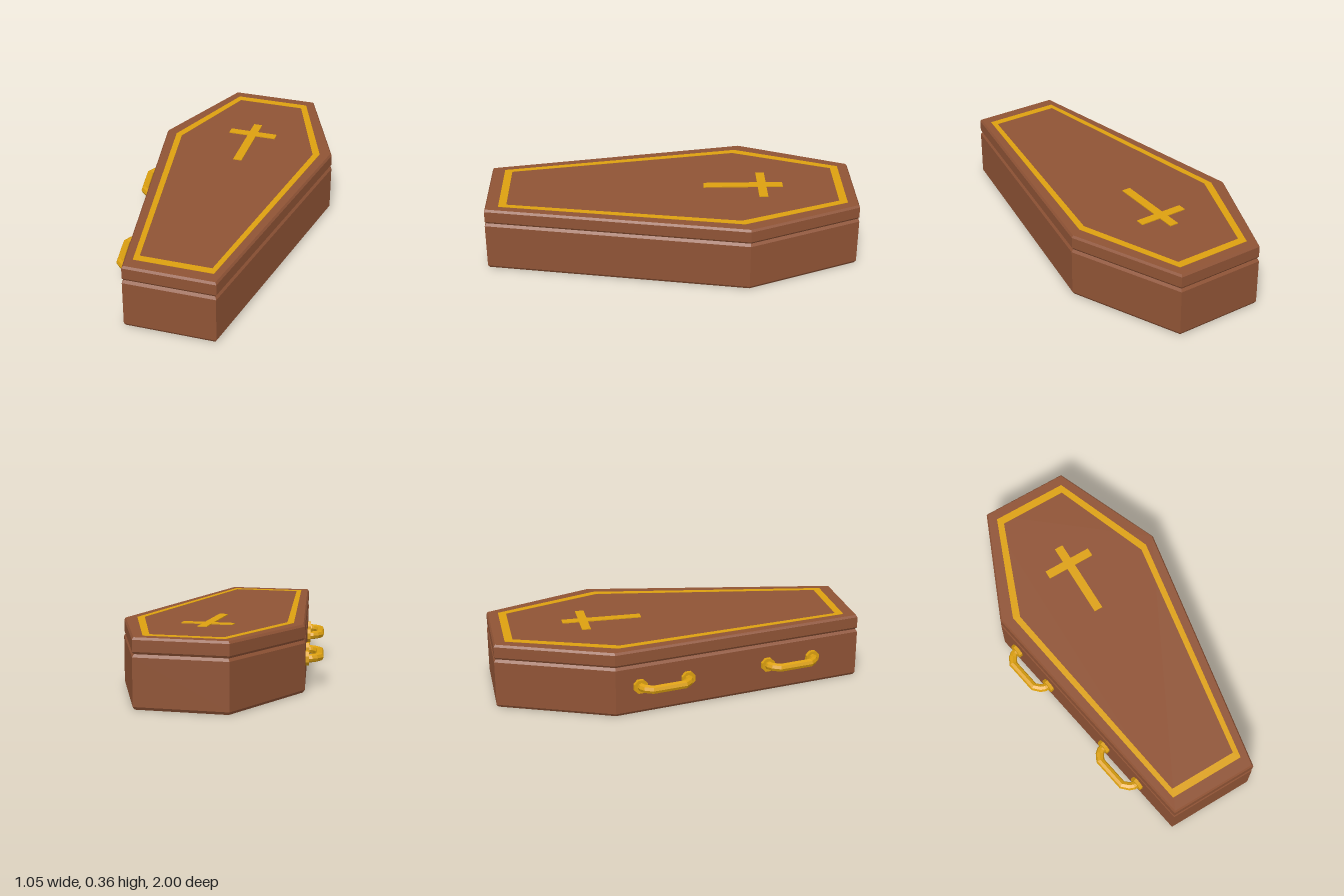
import * as THREE from 'three';

const wood = new THREE.MeshStandardMaterial({ color: 0x8f5335, flatShading: true });
const gold = new THREE.MeshStandardMaterial({ color: 0xdca010, flatShading: true });
const CX = 0.033; // centre line of the box

// Six-sided outline: half widths at the ends and shoulder, z of head, shoulder and foot
function outline(end, shoulder, zHead, zShoulder, zFoot, Type = THREE.Shape) {
  const pts = [[-end, zFoot], [end, zFoot], [shoulder, zShoulder], [end, zHead], [-end, zHead], [-shoulder, zShoulder]];
  return new Type(pts.map(([x, z]) => new THREE.Vector2(CX + x, -z)));
}

// Upright slab with one-step bevels kept inside the outline
function slab(name, shape, y, height, bevel, inset, material) {
  const geo = new THREE.ExtrudeGeometry(shape, {
    depth: height - 2 * bevel, bevelEnabled: bevel > 0, bevelSegments: 1,
    bevelThickness: bevel, bevelSize: inset, bevelOffset: -inset,
  });
  geo.rotateX(-Math.PI / 2).translate(0, y + bevel, 0);
  const mesh = new THREE.Mesh(geo, material);
  mesh.name = name;
  return mesh;
}

// Straight-segment path with one tube ring per corner
class Polyline extends THREE.Curve {
  constructor(points) {
    super();
    this.points = points;
  }
  getPointAt(t, target = new THREE.Vector3()) {
    return target.copy(this.points[Math.round(t * (this.points.length - 1))]);
  }
  getPoint(t, target) {
    return this.getPointAt(t, target);
  }
  getTangentAt(t, target = new THREE.Vector3()) {
    const p = this.points, i = Math.round(t * (p.length - 1));
    target.set(0, 0, 0);
    if (i > 0) target.add(p[i].clone().sub(p[i - 1]).normalize());
    if (i < p.length - 1) target.add(p[i + 1].clone().sub(p[i]).normalize());
    return target.normalize();
  }
}

// Handle built with the wall in the local yz plane, projecting toward -x
function createHandle(name) {
  const handle = new THREE.Group();
  handle.name = name;
  const half = [[0.01, 0.135], [-0.03, 0.132], [-0.05, 0.12], [-0.074, 0.088]];
  const points = [
    ...half.map(([x, z]) => new THREE.Vector3(x, 0, -z)),
    ...half.reverse().map(([x, z]) => new THREE.Vector3(x, 0, z)),
  ];
  const grip = new THREE.Mesh(new THREE.TubeGeometry(new Polyline(points), points.length - 1, 0.023, 8), gold);
  grip.name = 'grip';
  handle.add(grip);
  for (const side of [-1, 1]) {
    const flange = new THREE.Mesh(new THREE.CylinderGeometry(0.04, 0.04, 0.03, 8).rotateY(Math.PI / 8), gold);
    flange.rotation.z = Math.PI / 2;
    flange.position.set(-0.004, 0, side * 0.135);
    flange.name = 'flange';
    handle.add(flange);
  }
  return handle;
}

export function createModel() {
  const model = new THREE.Group();
  model.name = 'coffin';

  // Box and lid, meeting in a bevelled groove
  model.add(slab('box', outline(0.243, 0.492, -1, -0.4, 1), 0, 0.275, 0.015, 0.01, wood));
  model.add(slab('lid', outline(0.243, 0.49, -0.998, -0.4, 0.998), 0.275, 0.083, 0.012, 0.008, wood));

  // Gold border inlay
  const border = outline(0.209, 0.426, -0.937, -0.372, 0.926);
  border.holes.push(outline(0.188, 0.389, -0.894, -0.358, 0.884, THREE.Path));
  model.add(slab('borderInlay', border, 0.352, 0.0075, 0, 0, gold));

  // Cross on the lid
  const [w, arm, top, foot, armTop, armFoot] = [0.024, 0.136, 0.608, 0.175, 0.518, 0.47];
  const cross = new THREE.Shape([
    [-w, foot], [w, foot], [w, armFoot], [arm, armFoot], [arm, armTop], [w, armTop],
    [w, top], [-w, top], [-w, armTop], [-arm, armTop], [-arm, armFoot], [-w, armFoot],
  ].map(([x, y]) => new THREE.Vector2(CX + x, y)));
  model.add(slab('cross', cross, 0.352, 0.011, 0, 0, gold));

  // Two handles along the tapering right wall
  [['headHandle', -0.135], ['footHandle', 0.59]].forEach(([name, z]) => {
    const handle = createHandle(name);
    handle.position.set(-0.459 + (z + 0.4) * 0.178, 0.157, z);
    handle.rotation.y = Math.atan(0.178);
    model.add(handle);
  });
  return model;
}
